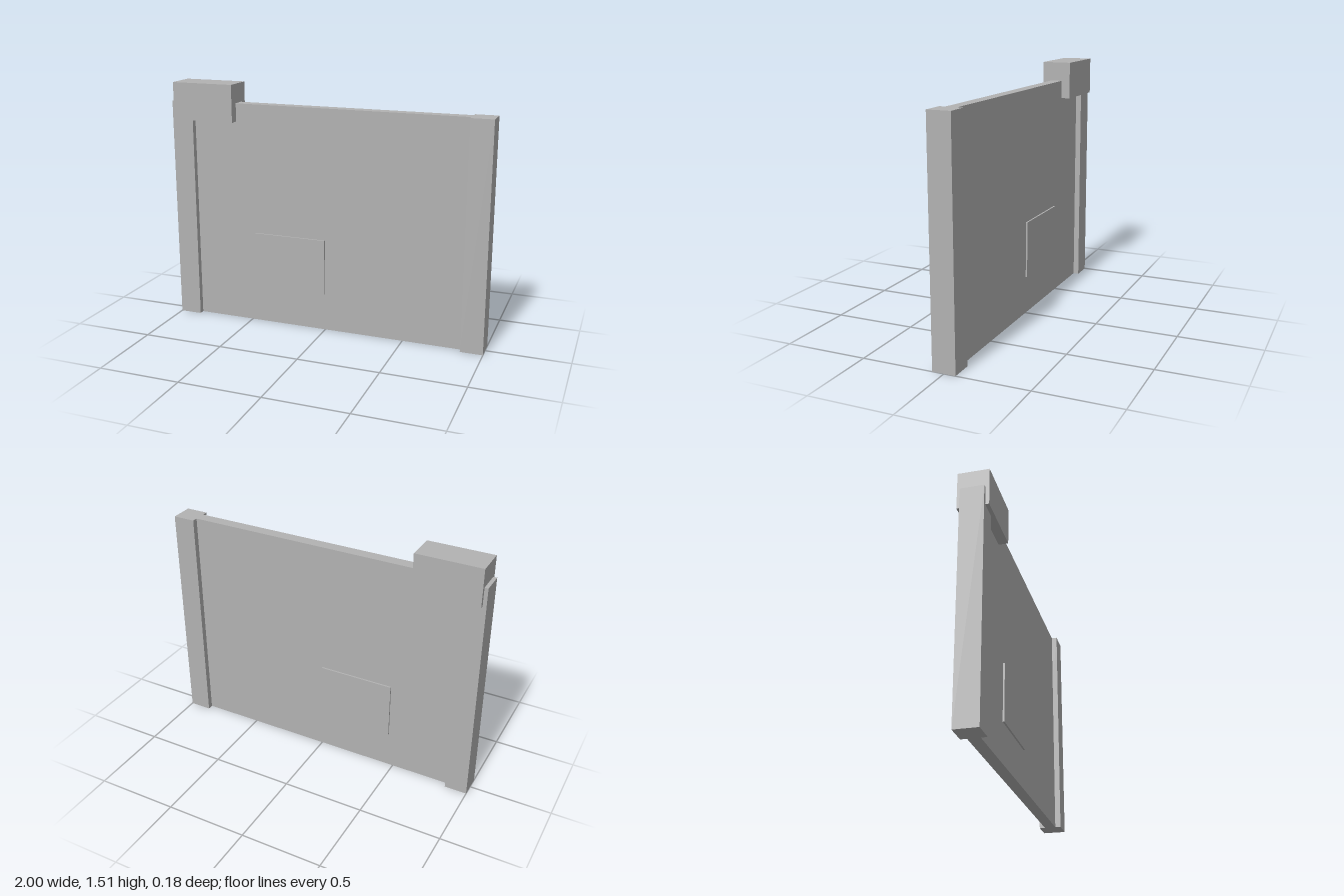
import * as THREE from 'three';

export function createModel() {
  const model = new THREE.Group();
  model.name = 'wallPanel';
  const grey = new THREE.MeshStandardMaterial({ color: 0xb2b2b2 });
  grey.name = 'grey';

  // Box given by its extents in x and y, and its half depth in z
  function addBox(name, x0, x1, y0, y1, halfDepth) {
    const mesh = new THREE.Mesh(new THREE.BoxGeometry(x1 - x0, y1 - y0, halfDepth * 2), grey);
    mesh.position.set((x0 + x1) / 2, (y0 + y1) / 2, 0);
    mesh.name = name;
    model.add(mesh);
  }

  const height = 1.395;

  // Thin wall between two posts
  addBox('wall', -0.863, 0.863, 0, height, 0.035);
  addBox('rightPost', -1, -0.863, 0, height, 0.07);
  addBox('leftPost', 0.863, 1, 0, height, 0.07);

  // Raised plate, showing on both faces of the wall
  addBox('plate', -0.465, -0.003, 0.235, 0.584, 0.045);

  // Block straddling the top corner
  addBox('cornerBlock', -0.978, -0.582, 1.283, 1.513, 0.092);

  return model;
}
